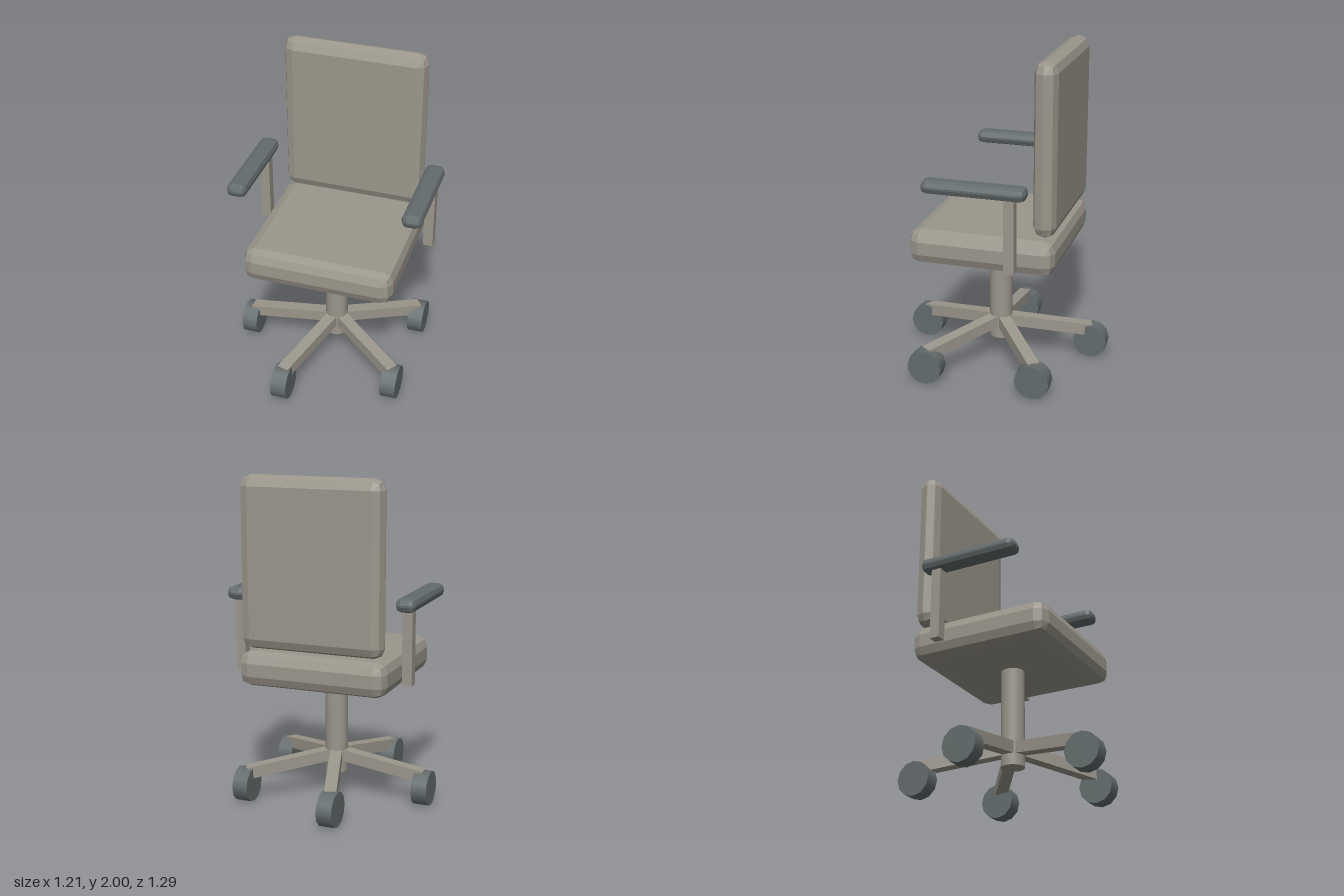
import * as THREE from 'three';
import { RoundedBoxGeometry } from 'three/addons/geometries/RoundedBoxGeometry.js';

export function createModel() {
  const model = new THREE.Group();
  model.name = 'officeChair';
  const beige = new THREE.MeshStandardMaterial({ color: 0x9b968b });
  beige.name = 'warm grey';
  const dark = new THREE.MeshStandardMaterial({ color: 0x636b6c });
  dark.name = 'slate grey';
  const cx = 0.008; // chair axis

  function add(name, geometry, material, x, y, z, parent = model) {
    const mesh = new THREE.Mesh(geometry, material);
    mesh.name = name;
    mesh.position.set(x, y, z);
    parent.add(mesh);
    return mesh;
  }

  // Box with faceted, two-step bevels
  function cushion(w, h, d, r) {
    const g = new RoundedBoxGeometry(w, h, d, 1, r);
    g.computeVertexNormals();
    return g;
  }

  // Seat and backrest
  add('seat', cushion(0.92, 0.21, 0.88, 0.066), beige, cx, 0.855, 0);
  add('backrest', cushion(0.885, 1.02, 0.136, 0.064), beige, cx, 1.49, -0.372);

  // Armrests on square posts
  for (const [side, s] of [['left', 1], ['right', -1]]) {
    const x = cx + s * 0.531;
    add(side + 'Armrest', cushion(0.12, 0.08, 0.615, 0.034), dark, x, 1.28, 0);
    add(side + 'ArmPost', new THREE.BoxGeometry(0.06, 0.46, 0.06), beige, x, 1.03, -0.21);
  }

  // Column
  add('column', new THREE.CylinderGeometry(0.07, 0.07, 0.62, 24), beige, cx, 0.46, 0);

  // Five sloping legs, each with a wheel that rolls forward
  const legGeometry = new THREE.BoxGeometry(0.57, 0.072, 0.073);
  const wheelGeometry = new THREE.CylinderGeometry(0.106, 0.106, 0.096, 12);
  wheelGeometry.rotateZ(Math.PI / 2);
  const reach = 0.568;
  for (let i = 0; i < 5; i++) {
    const angle = Math.PI + (i * Math.PI * 2) / 5;
    const spoke = new THREE.Group();
    spoke.name = 'spoke' + (i + 1);
    spoke.position.x = cx;
    spoke.rotation.y = angle;
    model.add(spoke);
    add('leg', legGeometry, beige, 0.285, 0.222, 0, spoke).rotation.z = -0.15;
    add('wheel' + (i + 1), wheelGeometry, dark,
      cx + Math.cos(angle) * reach, 0.107, -Math.sin(angle) * reach);
  }
  return model;
}
